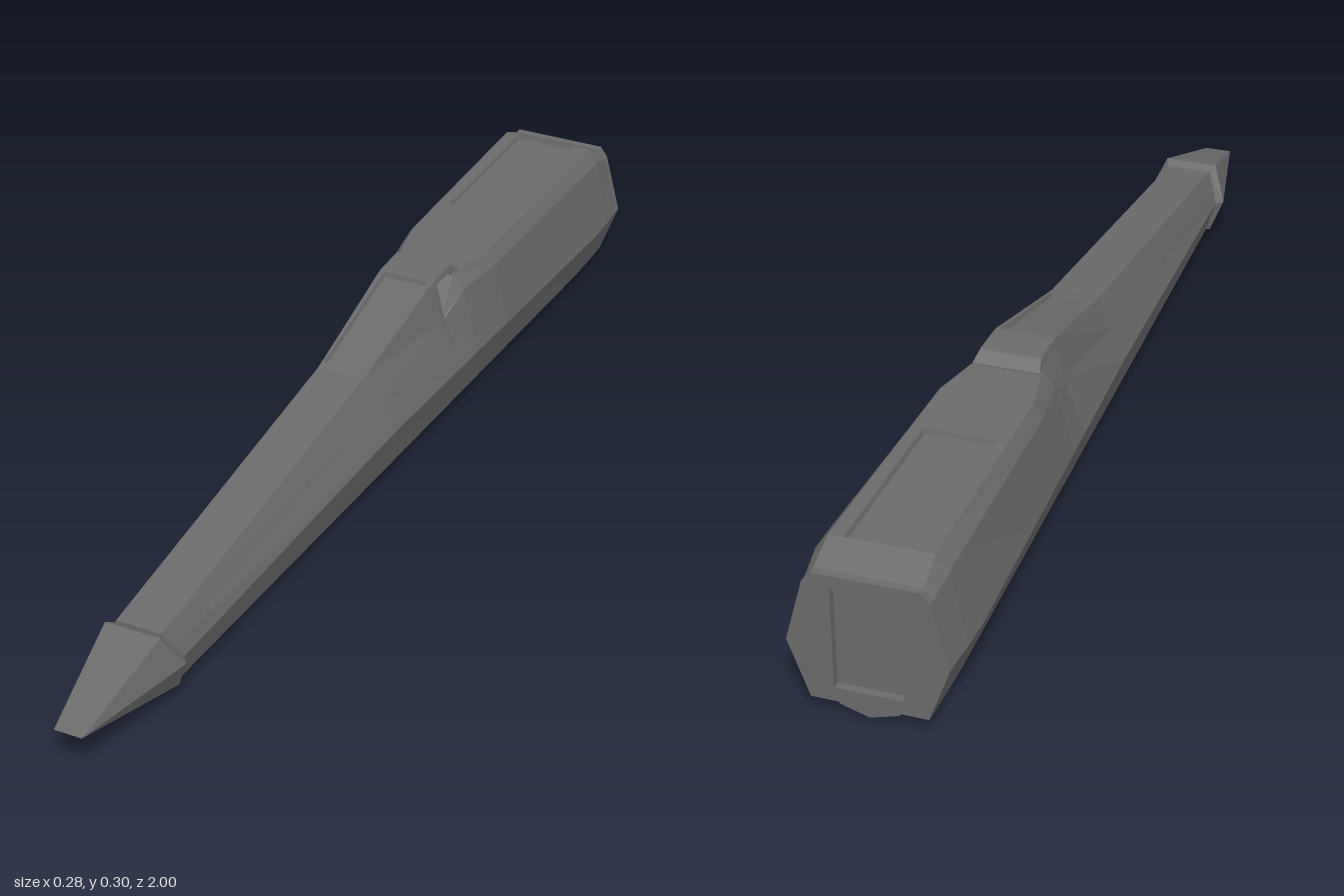
import * as THREE from 'three';

const hullGrey = new THREE.MeshStandardMaterial({ color: 0x6a6a6a });
hullGrey.name = 'hull grey';

// Skin a row of mirrored half-rings (points run top to bottom, rings front to back), faceted and capped.
function loft(name, halves) {
  const rings = halves.map(h => [...h, ...h.slice().reverse().map(([x, y, z]) => [-x, y, z])]);
  const pos = [];
  const n = rings[0].length;
  for (let i = 0; i < rings.length - 1; i++) {
    for (let k = 0; k < n; k++) {
      const j = (k + 1) % n;
      const a = rings[i][k], b = rings[i][j], c = rings[i + 1][j], d = rings[i + 1][k];
      pos.push(...a, ...b, ...c, ...a, ...c, ...d);
    }
  }
  const cap = (ring, front) => {
    const mid = [0, 1, 2].map(q => ring.reduce((s, p) => s + p[q], 0) / n);
    for (let k = 0; k < n; k++) {
      const a = ring[k], b = ring[(k + 1) % n];
      pos.push(...mid, ...(front ? b : a), ...(front ? a : b));
    }
  };
  cap(rings[0], true);
  cap(rings[rings.length - 1], false);
  const geo = new THREE.BufferGeometry();
  geo.setAttribute('position', new THREE.Float32BufferAttribute(pos, 3));
  geo.computeVertexNormals();
  const mesh = new THREE.Mesh(geo, hullGrey);
  mesh.name = name;
  return mesh;
}

const lerp = THREE.MathUtils.lerp;

// Hull half-section: sunken panel, top edge, shoulder, widest chine, belly edge.
function section(z, top, shoulder, panelX, depth = 0, squeeze = 0) {
  const t = (0.77 - z) / 1.77;
  const chineY = z > 0 ? lerp(0.125, 0.09, z / 0.77) : lerp(0.125, 0.122, -z);
  return [
    [panelX - 0.003, top[1] - depth, z],
    [panelX, top[1], z],
    [...top, z],
    [...shoulder, z],
    [lerp(0.066, 0.149, t) - squeeze, chineY, z],
    [lerp(0.05, 0.106, t) - squeeze * 0.5, lerp(0.035, 0.019, t), z],
  ];
}

export function createModel() {
  const model = new THREE.Group();
  model.name = 'fuselage';

  // Front hull rising to the cockpit, with a sunken windscreen
  model.add(loft('frontHull', [
    section(0.77, [0.043, 0.148], [0.055, 0.119], 0.038),
    section(0.03, [0.046, 0.235], [0.073, 0.18], 0.042),
    section(0.012, [0.0465, 0.239], [0.0735, 0.183], 0.042),
    section(0.01, [0.0465, 0.2395], [0.0735, 0.183], 0.042, 0.008),
    section(-0.245, [0.055, 0.298], [0.076, 0.223], 0.046, 0.008),
    section(-0.247, [0.055, 0.299], [0.076, 0.223], 0.046),
    section(-0.26, [0.055, 0.3], [0.076, 0.222], 0.046),
  ]));

  // Rear hull: sloped floor below the cockpit opening, then the deck with its long sunken panel
  const tail = section(-0.985, [0.092, 0.257], [0.107, 0.238], 0.06, 0, 0.01);
  model.add(loft('rearHull', [
    section(-0.26, [0.07, 0.222], [0.076, 0.22], 0.046),
    section(-0.33, [0.06, 0.28], [0.083, 0.25], 0.046),
    section(-0.45, [0.084, 0.283], [0.1, 0.255], 0.062),
    section(-0.58, [0.086, 0.283], [0.103, 0.255], 0.064),
    section(-0.582, [0.086, 0.283], [0.103, 0.255], 0.064, 0.009),
    section(-0.86, [0.089, 0.283], [0.111, 0.255], 0.064, 0.009),
    section(-0.925, [0.09, 0.283], [0.112, 0.254], 0.064, 0.009, 0.004),
    section(-0.927, [0.09, 0.283], [0.112, 0.254], 0.064, 0, 0.004),
    tail,
  ]));

  // Roof bridging the cockpit opening
  const roof = (z, x, top, low) => [[x, top, z], [x + 0.003, low, z]];
  model.add(loft('cockpitRoof', [
    roof(-0.26, 0.055, 0.3, 0.289),
    roof(-0.325, 0.056, 0.3, 0.288),
    roof(-0.328, 0.056, 0.299, 0.27),
    roof(-0.35, 0.062, 0.283, 0.27),
  ]));

  // Tail frame around a recessed rear hatch
  const outline = tail.slice(2).map(([x, y]) => new THREE.Vector2(x, y));
  const frame = new THREE.Shape([...outline, ...outline.slice().reverse().map(p => new THREE.Vector2(-p.x, p.y))]);
  frame.holes.push(new THREE.Path([[-0.06, 0.045], [0.06, 0.045], [0.06, 0.232], [-0.06, 0.232]]
    .map(p => new THREE.Vector2(...p))));
  const tailFrame = new THREE.Mesh(
    new THREE.ExtrudeGeometry(frame, { depth: 0.015, bevelEnabled: false }), hullGrey);
  tailFrame.name = 'tailFrame';
  tailFrame.position.z = -1;
  model.add(tailFrame);

  // Small pointed keel under the tail
  model.add(loft('tailKeel', [
    [[0.055, 0.022, -0.955], [0.05, 0.018, -0.955], [0, 0.017, -0.955]],
    [[0.055, 0.022, -0.975], [0.05, 0.015, -0.975], [0, 0.002, -0.975]],
    [[0.055, 0.022, -1], [0.05, 0.015, -1], [0, 0, -1]],
  ]));

  // Wedge nose with a slanted collar
  const collar = [[0.052, 0.155, 0.79], [0.08, 0.091, 0.757], [0.056, 0.03, 0.742]];
  model.add(loft('nose', [
    collar.map(() => [0.026, 0.088, 1]),
    collar,
    collar.map(([x, y, z]) => [x * 0.86, lerp(0.09, y, 0.88), z - 0.014]),
  ]));

  return model;
}
